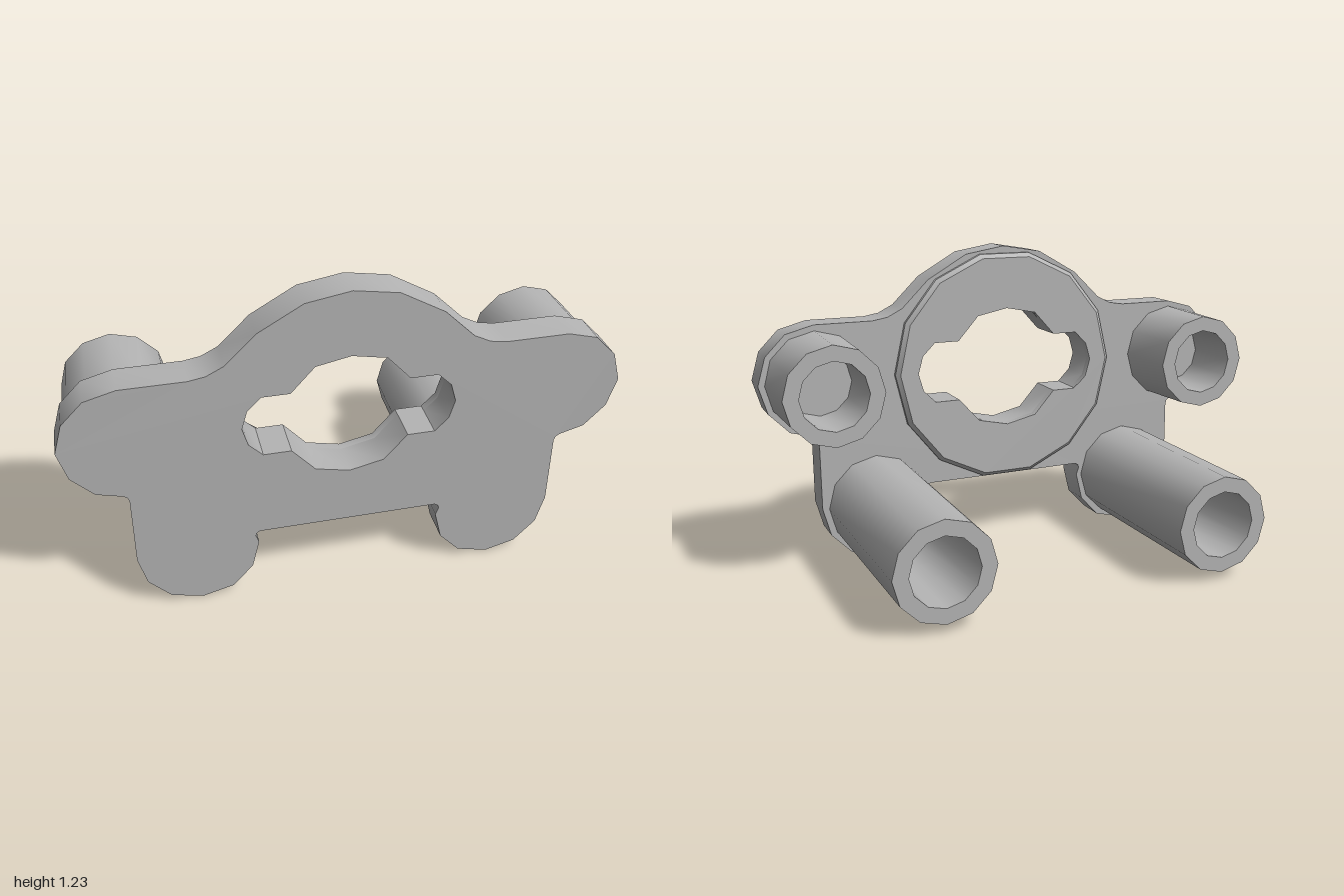
import * as THREE from 'three';
import { toCreasedNormals } from 'three/addons/utils/BufferGeometryUtils.js';

const FRONT = 0.465, BACK = 0.336, PAD = 0.305, HUB_Y = 0.74, CREASE = 0.65;

// Full closed outline from its right half, listed top to bottom
function mirrored(half) {
  const left = half.filter(([x]) => x > 0).reverse().map(([x, y]) => [-x, y]);
  return [...half, ...left].map(([x, y]) => new THREE.Vector2(x, y)).reverse();
}

// Lobed centre opening, shared by the plate and the pad
function opening() {
  return new THREE.Path(mirrored([
    [0, 0.98], [0.125, 0.955], [0.21, 0.86], [0.31, 0.86], [0.36, 0.81], [0.38, 0.74],
    [0.36, 0.67], [0.31, 0.62], [0.21, 0.62], [0.125, 0.525], [0, 0.497],
  ]));
}

function extruded(points, z0, z1, steps = 1) {
  const shape = new THREE.Shape(points);
  shape.holes.push(opening());
  const geo = new THREE.ExtrudeGeometry(shape, { depth: z1 - z0, steps, bevelEnabled: false });
  return geo.translate(0, 0, z0);
}

export function createModel() {
  const group = new THREE.Group();
  const grey = new THREE.MeshStandardMaterial({ color: 0xb4b4b4 });
  grey.name = 'plain grey';

  const add = (name, geo) => {
    const mesh = new THREE.Mesh(toCreasedNormals(geo, CREASE), grey);
    mesh.name = name;
    group.add(mesh);
    return mesh;
  };

  // Mounting plate with domed top, two ears and two feet
  add('plate', extruded(mirrored([
    [0, 1.227], [0.16, 1.2], [0.32, 1.108], [0.43, 1.0], [0.49, 0.97], [0.55, 0.96],
    [0.78, 0.96], [0.89, 0.93], [0.968, 0.85], [1, 0.74], [0.968, 0.63], [0.89, 0.55],
    [0.8, 0.525], [0.785, 0.515], [0.78, 0.5],
    [0.78, 0.225], [0.75, 0.113], [0.67, 0.03], [0.556, 0], [0.44, 0.03], [0.364, 0.113],
    [0.337, 0.225], [0.348, 0.255], [0.345, 0.267], [0.332, 0.276], [0.31, 0.276],
  ]), BACK, FRONT));

  // Raised round pad on the back, its rear rim chamfered
  const rim = Array.from({ length: 14 }, (_, i) => {
    const a = (i / 14) * Math.PI * 2;
    return new THREE.Vector2(0.47 * Math.cos(a), HUB_Y + 0.47 * Math.sin(a));
  });
  const padGeo = extruded(rim, PAD, BACK, 2);
  const pos = padGeo.attributes.position;
  for (let i = 0; i < pos.count; i++) {
    const x = pos.getX(i), y = pos.getY(i) - HUB_Y;
    if (pos.getZ(i) < PAD + 0.001 && Math.hypot(x, y) > 0.45) {
      pos.setXY(i, x * 0.965, HUB_Y + y * 0.965);
    }
  }
  add('pad', padGeo);

  // Tapered hollow posts, open at the rear
  function post(name, x, y, tipZ) {
    const profile = [
      [0.197, -BACK], [0.19, -tipZ], [0.131, -tipZ], [0.127, -0.3], [0, -0.3],
    ].map(([r, h]) => new THREE.Vector2(r, h));
    const geo = new THREE.LatheGeometry(profile, 12).rotateX(-Math.PI / 2);
    add(name, geo).position.set(x, y, 0);
  }
  for (const [side, s] of [['left', 1], ['right', -1]]) {
    post(side + 'LongPost', s * 0.556, 0.223, -0.465);
    post(side + 'ShortPost', s * 0.778, HUB_Y, 0.055);
  }
  return group;
}
